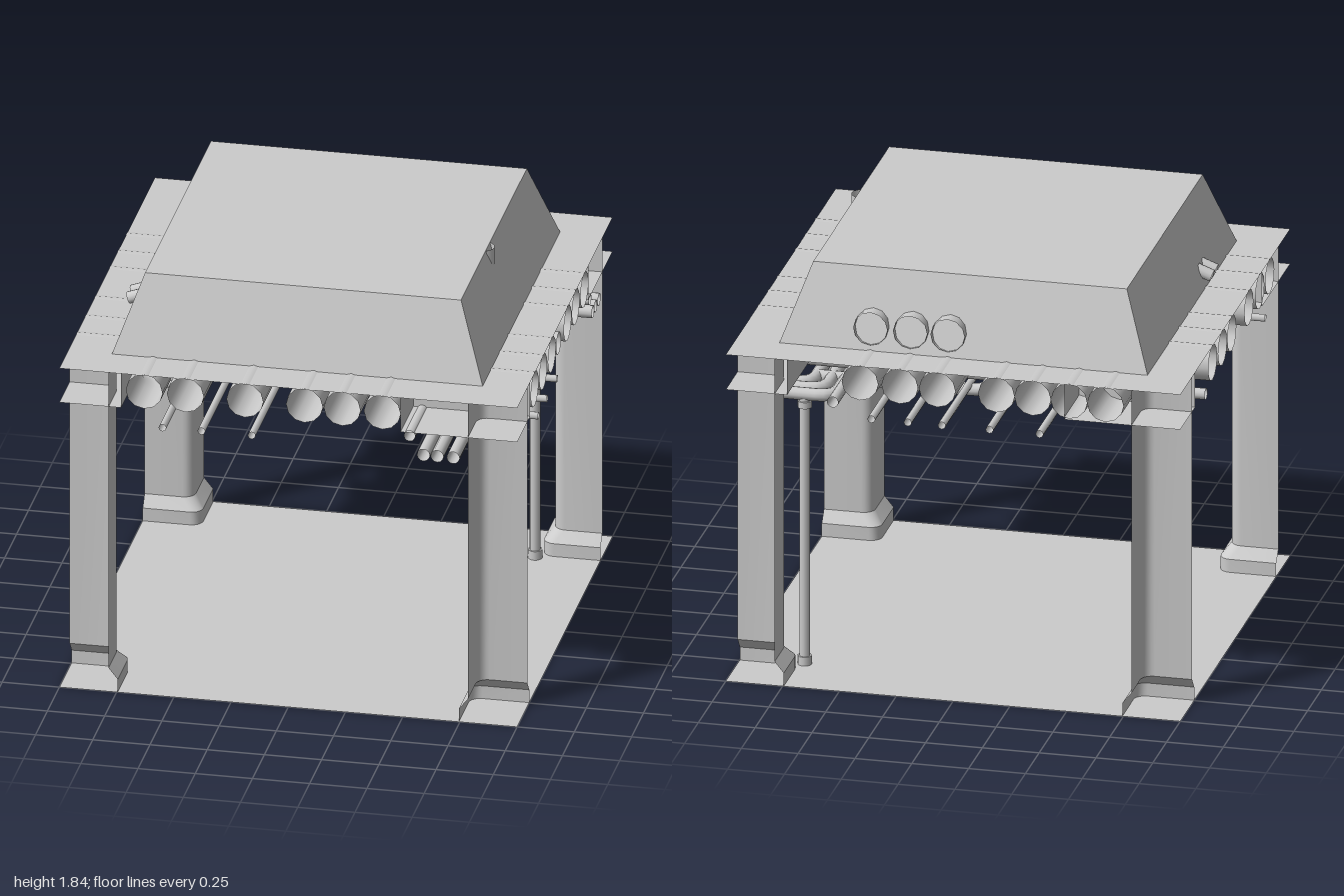
import * as THREE from 'three';
import { toCreasedNormals } from 'three/addons/utils/BufferGeometryUtils.js';

const mat = new THREE.MeshStandardMaterial({ color: 0xcccccc, side: THREE.DoubleSide });
const flat = new THREE.MeshStandardMaterial({ color: 0xcccccc, side: THREE.DoubleSide, flatShading: true });
const V = (x, y, z) => new THREE.Vector3(x, y, z);

function add(parent, name, geo, x = 0, y = 0, z = 0, material = mat) {
  const m = new THREE.Mesh(geo, material);
  m.name = name;
  m.position.set(x, y, z);
  parent.add(m);
  return m;
}

// Open pipe along a polyline with rounded bends
function pipe(parent, name, pts, r, bend = 0.12, sides = 12) {
  const path = new THREE.CurvePath();
  let from = pts[0];
  for (let i = 1; i < pts.length - 1; i++) {
    const p = pts[i];
    const a = p.clone().add(pts[i - 1].clone().sub(p).setLength(bend));
    const b = p.clone().add(pts[i + 1].clone().sub(p).setLength(bend));
    path.add(new THREE.LineCurve3(from, a));
    path.add(new THREE.QuadraticBezierCurve3(a, p, b));
    from = b;
  }
  path.add(new THREE.LineCurve3(from, pts[pts.length - 1]));
  const segments = pts.length > 2 ? 64 : 1;
  return add(parent, name, new THREE.TubeGeometry(path, segments, r, sides, false), 0, 0, 0);
}

// Quarter pillar for the +x +z corner: two inner walls, a rounded edge and a flared foot
function pillarGeometry() {
  const levels = [[0, 0.745], [0.06, 0.745], [0.11, 0.785], [1.5, 0.785]];
  const f = 0.05, steps = 5, pos = [], idx = [];
  for (const [y, d] of levels) {
    pos.push(1, y, d);
    for (let i = 0; i <= steps; i++) {
      const a = (i / steps) * Math.PI / 2;
      pos.push(d + f - f * Math.sin(a), y, d + f - f * Math.cos(a));
    }
    pos.push(d, y, 1);
  }
  const n = steps + 3;
  for (let l = 0; l < levels.length - 1; l++) {
    for (let i = 0; i < n - 1; i++) {
      const a = l * n + i, b = a + 1, c = a + n, d = c + 1;
      idx.push(a, b, c, b, d, c);
    }
  }
  const g = new THREE.BufferGeometry();
  g.setAttribute('position', new THREE.Float32BufferAttribute(pos, 3));
  g.setIndex(idx);
  return toCreasedNormals(g, 0.5);
}

export function createModel() {
  const model = new THREE.Group();
  model.name = 'ceilingPipeTile';

  // Floor and ceiling sheets
  add(model, 'floor', new THREE.PlaneGeometry(2, 2).rotateX(-Math.PI / 2));
  const sheet = new THREE.Shape([[-1, -1], [1, -1], [1, 1], [-1, 1]].map(p => new THREE.Vector2(...p)));
  sheet.holes.push(new THREE.Path([[-0.81, -0.81], [-0.81, 0.81], [0.81, 0.81], [0.81, -0.81]].map(p => new THREE.Vector2(...p))));
  add(model, 'ceilingRim', new THREE.ShapeGeometry(sheet).rotateX(-Math.PI / 2), 0, 1.5, 0);

  // Raised roof with sloping sides
  const s = Math.SQRT2;
  add(model, 'roofSlopes', new THREE.CylinderGeometry(0.69 * s, 0.81 * s, 0.34, 4, 1, true).rotateY(Math.PI / 4), 0, 1.67, 0, flat);
  add(model, 'roofTop', new THREE.PlaneGeometry(1.38, 1.38).rotateX(-Math.PI / 2), 0, 1.84, 0);

  // Corner pillars with a lopsided bulkhead, turned round the four corners
  const pillar = pillarGeometry();
  for (let k = 0; k < 4; k++) {
    const corner = new THREE.Group();
    corner.name = 'corner' + (k + 1);
    corner.rotation.y = k * Math.PI / 2;
    add(corner, 'pillar', pillar);
    add(corner, 'bulkheadBack', new THREE.PlaneGeometry(0.51, 0.16), 0.745, 1.42, 0.73);
    add(corner, 'bulkheadSide', new THREE.PlaneGeometry(0.27, 0.16).rotateY(-Math.PI / 2), 0.49, 1.42, 0.865);
    add(corner, 'bulkheadBottom', new THREE.PlaneGeometry(0.51, 0.27).rotateX(Math.PI / 2), 0.745, 1.34, 0.865);
    model.add(corner);
  }

  // Large ducts, turning from one side of the tile to the next
  const ducts = new THREE.Group();
  ducts.name = 'ducts';
  model.add(ducts);
  const dy = 1.425, R = 0.08;
  const duct = (sideX, z, x, endZ) =>
    pipe(ducts, 'duct', [V(sideX, dy, z), V(x, dy, z), V(x, dy, endZ)], R, 0.16);
  [[0.63, 0.41], [0.45, 0.235], [0.27, 0.07]].forEach(([z, x]) => duct(1, z, x, 1));
  [[-0.41, 0.41], [-0.23, 0.235], [-0.06, 0.07]].forEach(([z, x]) => duct(1, z, x, -1));
  [[0.63, -0.63], [0.45, -0.45]].forEach(([z, x]) => duct(-1, z, x, 1));
  [[-0.41, -0.67], [-0.23, -0.51], [-0.06, -0.35]].forEach(([z, x]) => duct(-1, z, x, -1));
  pipe(ducts, 'straightDuct', [V(-0.19, dy, -1), V(-0.19, dy, 1)], R);
  pipe(ducts, 'risingDuctLeft', [V(-1, dy, 0.25), V(-0.4, dy, 0.25), V(-0.4, 1.8, 0.25)], R, 0.14);

  // Narrow duct rising through the right slope
  pipe(ducts, 'risingDuctRight', [V(1, 1.415, 0.13), V(0.67, 1.415, 0.13), V(0.67, 1.84, 0.13)], 0.05, 0.1);

  // Duct ends on the back slope and small ones on the left slope
  for (const x of [0.07, 0.235, 0.41]) {
    pipe(ducts, 'backOutlet', [V(x, 1.44, -0.66), V(x, 1.6, -0.66), V(x, 1.6, -0.81)], 0.075, 0.1);
  }
  for (const z of [0.265, 0.335]) {
    pipe(ducts, 'leftOutlet', [V(-0.7, 1.6, z), V(-0.835, 1.55, z)], 0.027);
  }

  // Conduits running under the ducts and bending round to the right side
  const conduits = new THREE.Group();
  conduits.name = 'conduits';
  model.add(conduits);
  const cy = 1.24;
  [[0.59, -0.72], [0.65, -0.65], [0.72, -0.59]].forEach(([x, z]) =>
    pipe(conduits, 'conduit', [V(x, cy, 1), V(x, cy, z), V(1, cy, z)], 0.028, 0.08));
  pipe(conduits, 'risingConduit', [V(-0.05, 1.5, -0.5), V(-0.05, cy, -0.5), V(0.72, cy, -0.5)], 0.028, 0.08);
  pipe(conduits, 'crossConduitX', [V(-1, 1.325, -0.53), V(1, 1.325, -0.53)], 0.025);
  pipe(conduits, 'crossConduitZ', [V(0.53, 1.325, -1), V(0.53, 1.325, 1)], 0.025);

  // Drop pipe down to the floor, with collars
  pipe(conduits, 'dropPipe', [V(0.72, 0, -0.72), V(0.72, cy, -0.72)], 0.024);
  for (const [y, h] of [[0.02, 0.04], [1.195, 0.03]]) {
    add(conduits, 'collar', new THREE.CylinderGeometry(0.031, 0.031, h, 12), 0.72, y, -0.72);
  }

  // Thin rods
  const rod = (...pts) => pipe(conduits, 'rod', pts, 0.017, 0.05, 8);
  const ry = 1.262;
  rod(V(-1, ry, 0.55), V(-0.55, ry, 0.55), V(-0.55, ry, 1));
  for (const x of [-0.38, -0.16]) rod(V(x, ry, -1), V(x, ry, 1));
  [[0.55, 0.05], [0.37, 0.2], [0.16, 0.36]].forEach(([z, x]) =>
    rod(V(1, ry, z), V(x, ry, z), V(x, ry, -1)));

  // Sprinkler head in the middle
  add(model, 'sprinklerBody', new THREE.CylinderGeometry(0.035, 0.035, 0.07, 12), 0, 1.325, 0);
  add(model, 'sprinklerPlate', new THREE.CylinderGeometry(0.07, 0.07, 0.006, 16), 0, 1.283, 0);

  return model;
}
